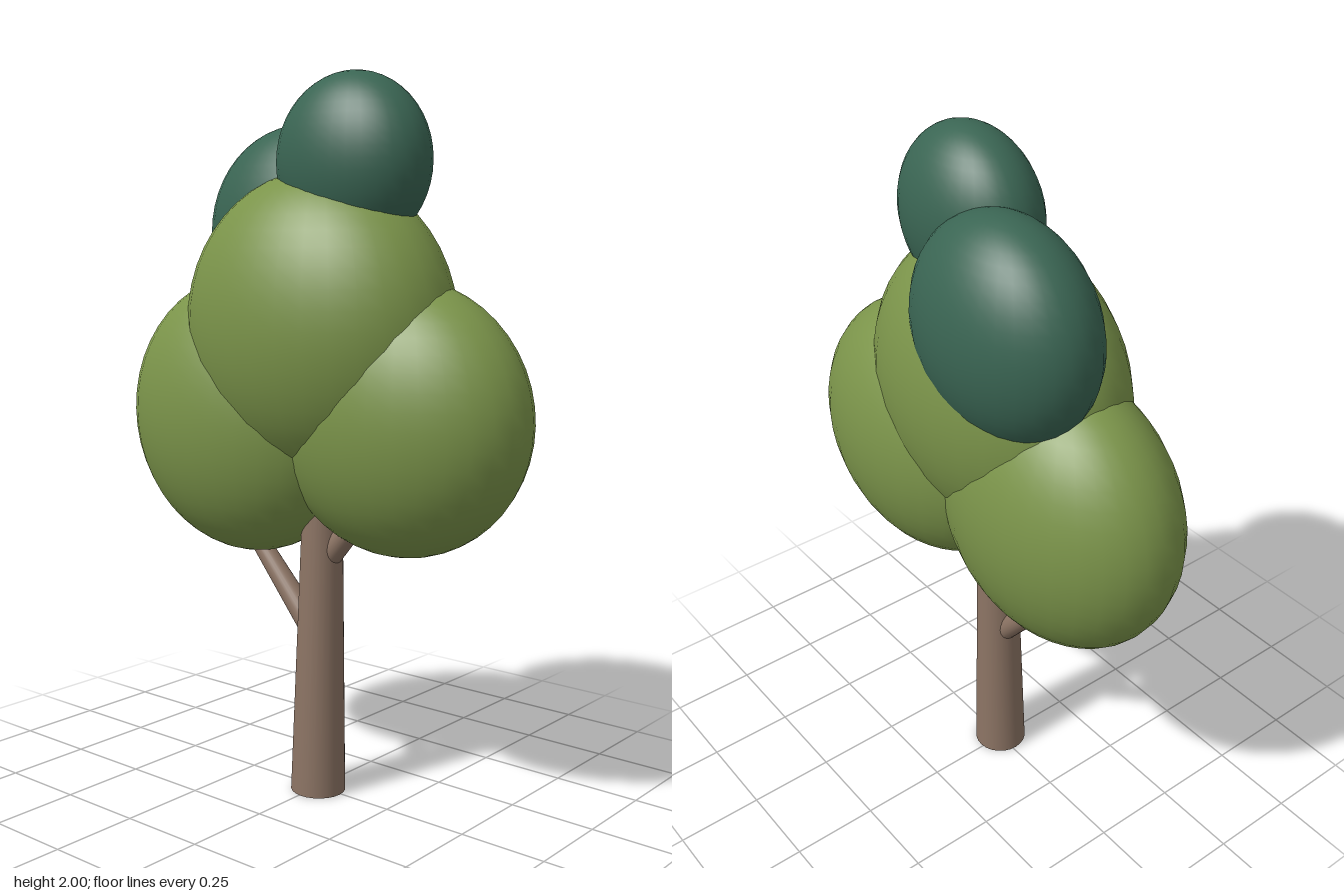
import * as THREE from 'three';

const material = (name, color) => {
  const m = new THREE.MeshStandardMaterial({ color });
  m.name = name;
  return m;
};

export function createModel() {
  const tree = new THREE.Group();
  tree.name = 'tree';
  const bark = material('barkBrown', 0x8c7464);
  const light = material('leafGreen', 0x7b944a);
  const dark = material('deepGreen', 0x3a6553);

  // Tapered limb between two points
  const limb = (name, from, to, r0, r1) => {
    const a = new THREE.Vector3(...from);
    const b = new THREE.Vector3(...to);
    const dir = b.clone().sub(a);
    const mesh = new THREE.Mesh(new THREE.CylinderGeometry(r1, r0, dir.length(), 24), bark);
    mesh.name = name;
    mesh.position.copy(a).add(b).multiplyScalar(0.5);
    mesh.quaternion.setFromUnitVectors(new THREE.Vector3(0, 1, 0), dir.normalize());
    tree.add(mesh);
  };

  // Flattened ball of leaves
  const ball = new THREE.SphereGeometry(1, 32, 24);
  const foliage = (name, mat, centre, radii) => {
    const mesh = new THREE.Mesh(ball, mat);
    mesh.name = name;
    mesh.position.set(...centre);
    mesh.scale.set(...radii);
    tree.add(mesh);
  };

  // Trunk and branches
  limb('trunk', [0.008, 0, 0.008], [0.024, 1.05, 0.003], 0.078, 0.051);
  limb('rightBranch', [-0.02, 0.475, 0.005], [-0.26, 0.745, 0.005], 0.036, 0.025);
  limb('leftBranch', [0.05, 0.695, 0.005], [0.25, 0.92, 0], 0.036, 0.025);

  // Crown
  foliage('rightFoliage', light, [-0.25, 1.068, 0.003], [0.398, 0.4, 0.258]);
  foliage('leftFoliage', light, [0.25, 1.088, -0.041], [0.394, 0.377, 0.252]);
  foliage('middleFoliage', light, [0.007, 1.33, 0.005], [0.42, 0.42, 0.285]);
  foliage('backFoliage', dark, [-0.138, 1.58, -0.093], [0.3, 0.3, 0.195]);
  foliage('topFoliage', dark, [0.125, 1.765, 0.004], [0.235, 0.235, 0.156]);

  return tree;
}
